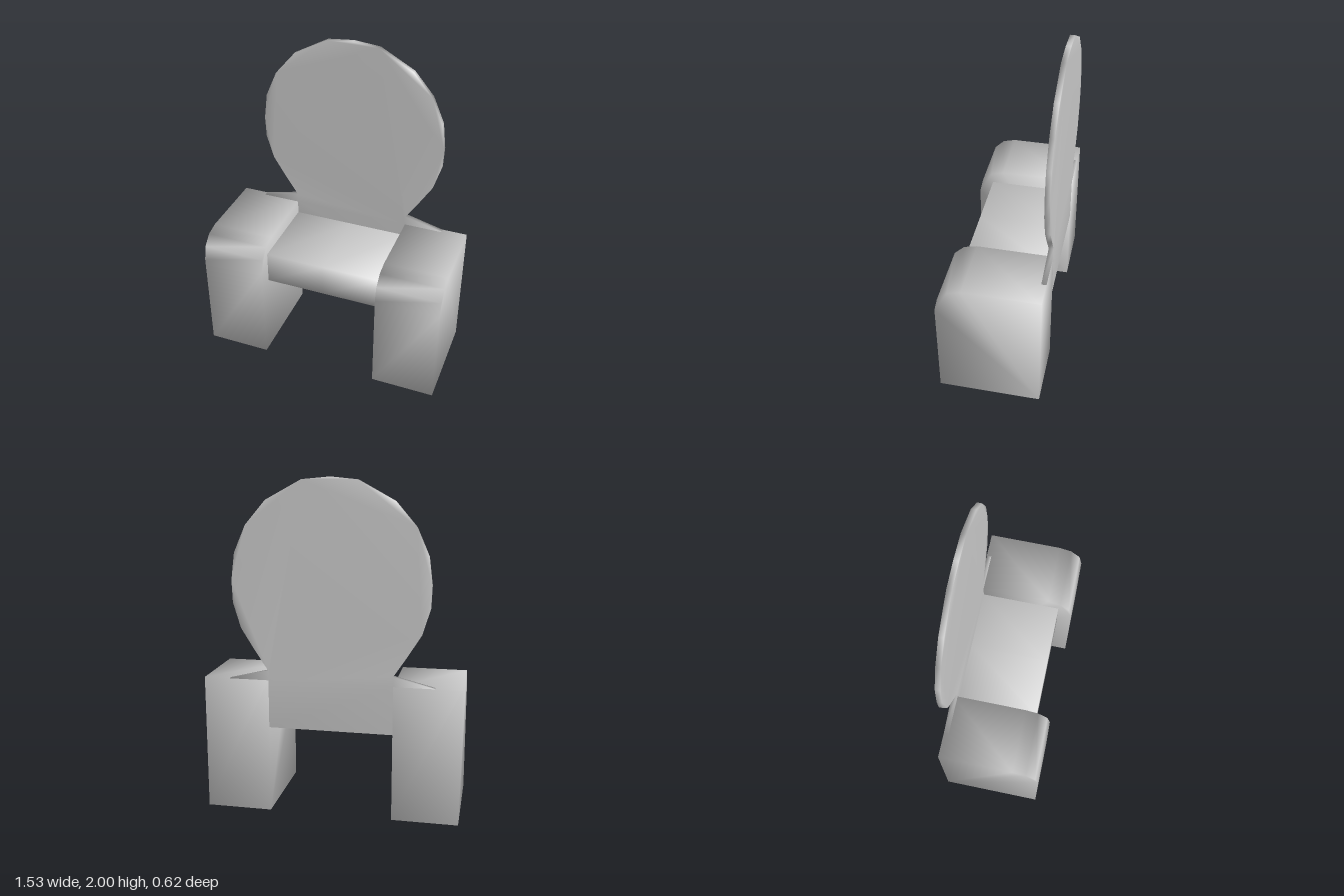
import * as THREE from 'three';
import { mergeVertices } from 'three/addons/utils/BufferGeometryUtils.js';

const material = new THREE.MeshStandardMaterial({ color: 0xcccccc });

// Weld shared corners so shading flows softly over the low-poly edges
function soften(geometry) {
  geometry.deleteAttribute('normal');
  geometry.deleteAttribute('uv');
  const welded = mergeVertices(geometry, 1e-4);
  welded.computeVertexNormals();
  return welded;
}

function extrude(points, depth) {
  const shape = new THREE.Shape(points.map(([x, y]) => new THREE.Vector2(x, y)));
  return new THREE.ExtrudeGeometry(shape, { depth, bevelEnabled: false });
}

function part(name, geometry) {
  const mesh = new THREE.Mesh(soften(geometry), material);
  mesh.name = name;
  return mesh;
}

export function createModel() {
  const chair = new THREE.Group();
  chair.name = 'chair';

  // Block arms: side profile (z, y) with a rounded top front corner
  const armProfile = [
    [-0.31, 0], [0.31, 0], [0.31, 0.65], [0.29, 0.74],
    [0.23, 0.8], [0.15, 0.82], [-0.31, 0.82],
  ];
  const armWidth = 0.395;
  for (const [name, outerX] of [['leftArm', 0.765], ['rightArm', -0.37]]) {
    const geometry = extrude(armProfile, armWidth);
    geometry.rotateY(-Math.PI / 2);
    geometry.translate(outerX, 0, 0);
    chair.add(part(name, geometry));
  }

  // Seat slab between the arms
  const seat = new THREE.BoxGeometry(0.74, 0.205, 0.5, 2, 1, 1);
  seat.translate(0, 0.6325, -0.03);
  chair.add(part('seat', seat));

  // Thin back: lower panel, small side tabs over the arms, round top
  const half = [
    [0.37, 0.53], [0.37, 0.82], [0.61, 0.82], [0.37, 0.88], [0.45, 1.0],
    [0.53, 1.13], [0.575, 1.28], [0.58, 1.41], [0.56, 1.57],
    [0.49, 1.73], [0.37, 1.87], [0.16, 1.985],
  ];
  const mirrored = half.map(([x, y]) => [-x, y]).reverse();
  const back = extrude([...half, [0, 2], ...mirrored], 0.03);
  back.translate(0, 0, -0.31);
  chair.add(part('backrest', back));

  return chair;
}
